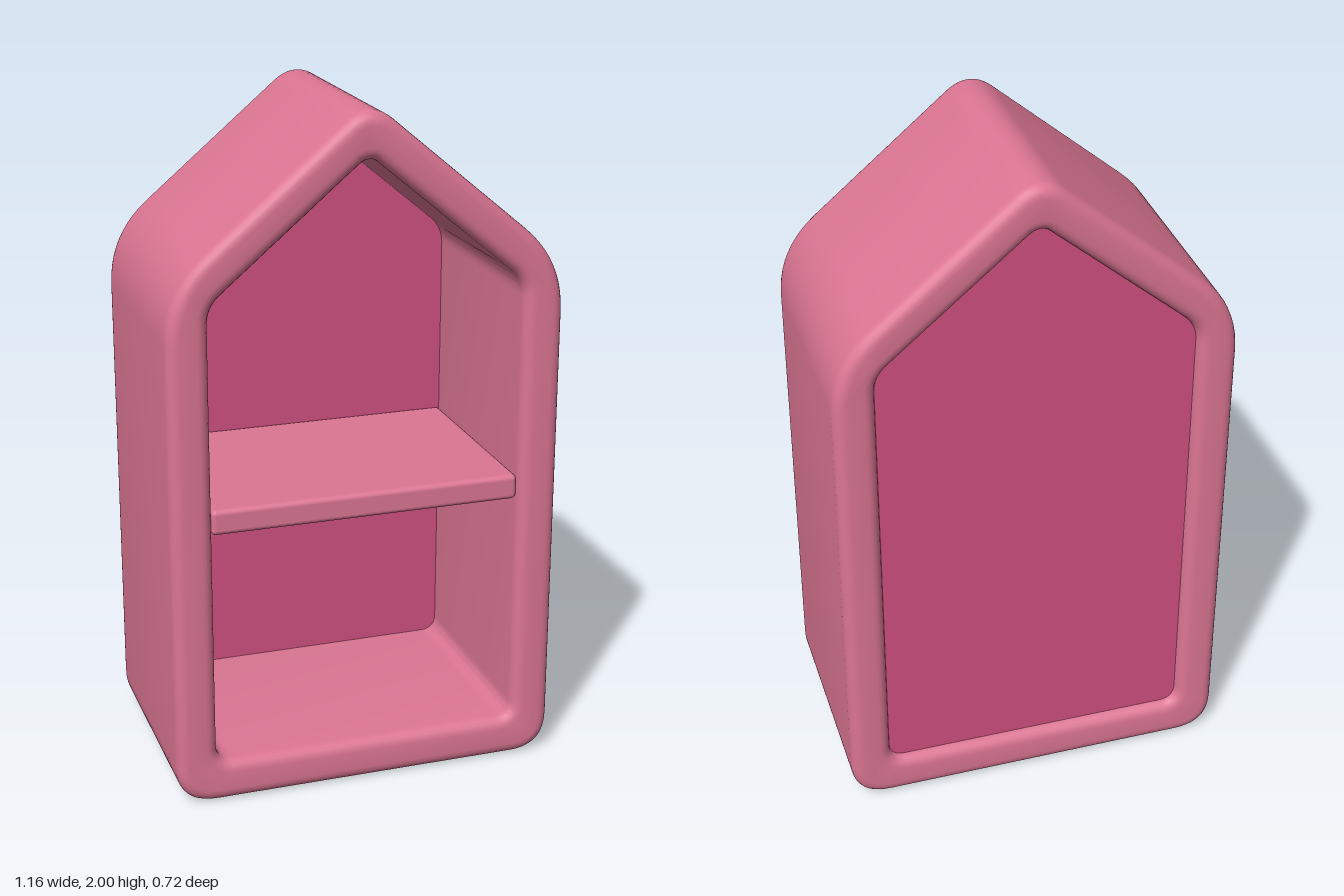
import * as THREE from 'three';
import { toCreasedNormals } from 'three/addons/utils/BufferGeometryUtils.js';
import { RoundedBoxGeometry } from 'three/addons/geometries/RoundedBoxGeometry.js';

// Traces a closed polygon with rounded corners; each corner is [x, y, cut length].
function roundedOutline(path, corners) {
  const n = corners.length;
  const toward = (a, b) => {
    const p = new THREE.Vector2(a[0], a[1]);
    const dir = new THREE.Vector2(b[0], b[1]).sub(p).normalize();
    return p.addScaledVector(dir, a[2]);
  };
  corners.forEach((c, i) => {
    const start = toward(c, corners[(i + n - 1) % n]);
    const end = toward(c, corners[(i + 1) % n]);
    if (i === 0) path.moveTo(start.x, start.y);
    else path.lineTo(start.x, start.y);
    path.quadraticCurveTo(c[0], c[1], end.x, end.y);
  });
  path.closePath();
  return path;
}

// House-shaped pentagon, symmetric about x = 0, counter-clockwise.
function house(halfWidth, bottom, shoulder, apex, cuts) {
  const [base, side, top] = cuts;
  return [
    [-halfWidth, bottom, base], [halfWidth, bottom, base],
    [halfWidth, shoulder, side], [0, apex, top], [-halfWidth, shoulder, side],
  ];
}

export function createModel() {
  const model = new THREE.Group();
  model.name = 'houseShelf';
  const framePink = new THREE.MeshStandardMaterial({ color: 0xdc7693 });
  framePink.name = 'framePink';
  const panelPink = new THREE.MeshStandardMaterial({ color: 0xd05080 });
  panelPink.name = 'panelPink';

  const add = (name, geometry, material) => {
    const mesh = new THREE.Mesh(geometry, material);
    mesh.name = name;
    model.add(mesh);
    return mesh;
  };

  const opening = house(0.46, 0.125, 1.494, 1.88, [0.05, 0.05, 0.04]);

  // Frame: rounded house outline with the opening cut through, soft edges front and back
  const bevel = 0.035;
  const outline = roundedOutline(new THREE.Shape(), house(0.58, 0, 1.543, 2.03, [0.12, 0.15, 0.09]));
  outline.holes.push(roundedOutline(new THREE.Path(), opening));
  const frame = new THREE.ExtrudeGeometry(outline, {
    depth: 0.72 - 2 * bevel, curveSegments: 10,
    bevelThickness: bevel, bevelSize: bevel, bevelOffset: -bevel, bevelSegments: 5,
  });
  frame.translate(0, 0, -0.36 + bevel);
  add('frame', toCreasedNormals(frame, 0.6), framePink);

  // Back panel: fills the opening just inside the rear edge
  const panel = new THREE.ExtrudeGeometry(roundedOutline(new THREE.Shape(), opening), {
    depth: 0.03, bevelEnabled: false, curveSegments: 10,
  });
  panel.translate(0, 0, -0.33);
  add('backPanel', toCreasedNormals(panel, 0.6), panelPink);

  // Shelf: softly rounded board across the middle
  const shelf = new RoundedBoxGeometry(0.92, 0.075, 0.645, 4, 0.015);
  add('shelf', shelf, framePink).position.set(0, 0.868, 0.0175);

  return model;
}
